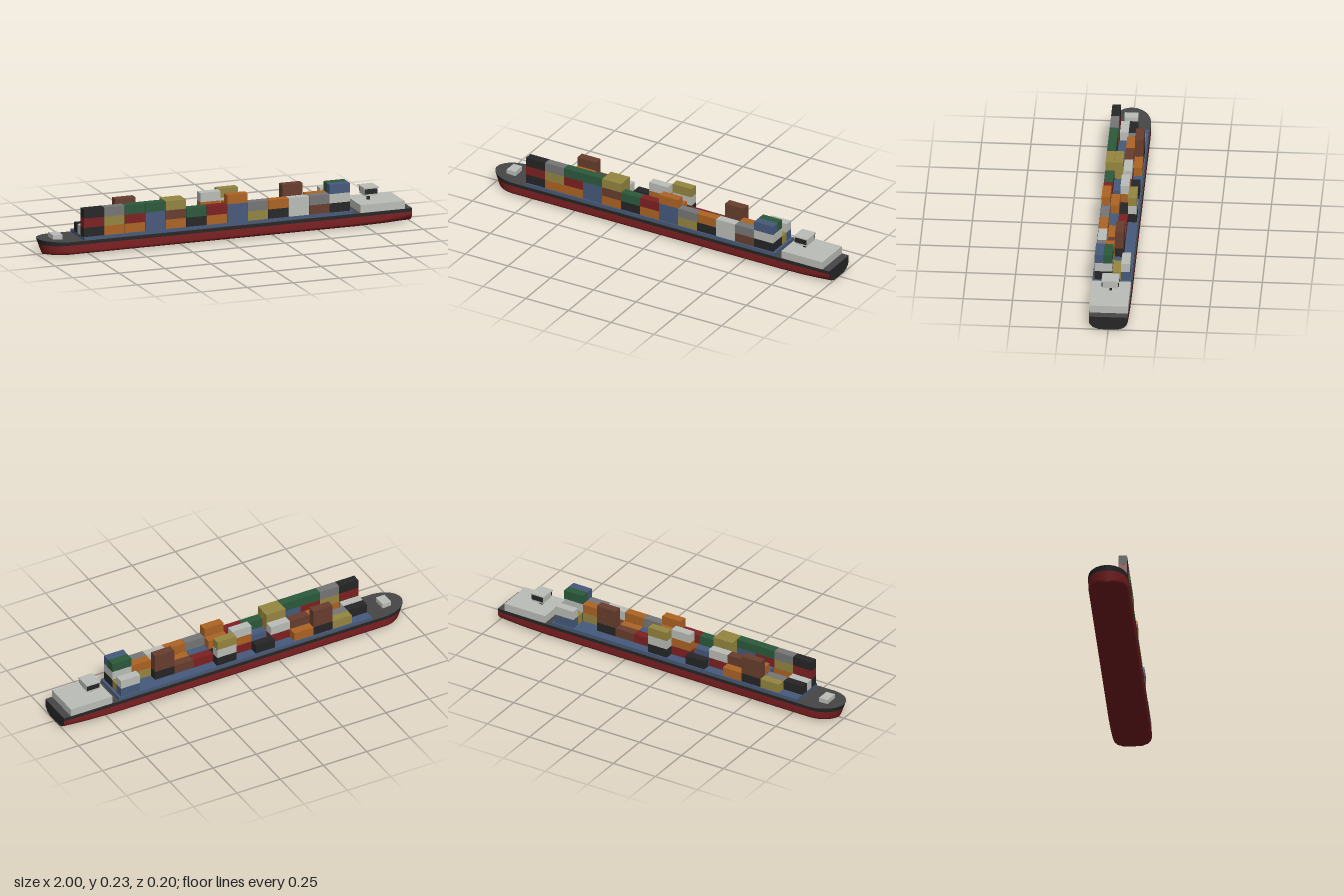
import * as THREE from 'three';

const mat = (name, color) => new THREE.MeshStandardMaterial({ name, color });

export function createModel() {
  const ship = new THREE.Group();
  ship.name = 'containerShip';
  const M = {
    K: mat('black', 0x262626), R: mat('red', 0x7e2022), G: mat('green', 0x2c5a3c),
    B: mat('blue', 0x465a7c), Y: mat('yellow', 0x968640), O: mat('orange', 0xae6424),
    W: mat('white', 0xbcbeb8), S: mat('gray', 0x767676), N: mat('brown', 0x683e2e),
    D: mat('deckGray', 0x464646),
  };

  const add = (name, geo, m, parent = ship) => {
    const mesh = new THREE.Mesh(geo, m);
    mesh.name = name;
    parent.add(mesh);
    return mesh;
  };
  // box from its minimum and maximum corners
  const box = (name, m, [x0, y0, z0], [x1, y1, z1], parent = ship) =>
    add(name, new THREE.BoxGeometry(x1 - x0, y1 - y0, z1 - z0), m, parent)
      .position.set((x0 + x1) / 2, (y0 + y1) / 2, (z0 + z1) / 2);

  // surface through rows of points
  const loft = (rows) => {
    const n = rows[0].length, idx = [];
    for (let i = 0; i < rows.length - 1; i++)
      for (let j = 0; j < n - 1; j++) {
        const a = i * n + j, b = a + n;
        idx.push(a, a + 1, b, b, a + 1, b + 1);
      }
    const g = new THREE.BufferGeometry();
    g.setAttribute('position', new THREE.Float32BufferAttribute(rows.flat(2), 3));
    g.setIndex(idx);
    g.computeVertexNormals();
    return g;
  };

  // Hull: bow at -x, flat transom at +x
  const WATER = 0.056, lerp = THREE.MathUtils.lerp;
  const stations = [];
  for (let i = 0; i <= 12; i++) stations.push(-0.86 - 0.14 * Math.cos((i / 12) * Math.PI / 2));
  stations.push(-0.7, 0, 0.7, 0.85, 0.94, 1);
  const sections = stations.map((x) => {
    const bow = Math.max(0, (-0.86 - x) / 0.14);
    const stern = Math.max(0, (x - 0.7) / 0.3) ** 2;
    const w = 0.102 * Math.sqrt(Math.max(0, 1 - bow * bow)) * (1 - 0.04 * stern);
    const top = 0.074 + 0.008 * bow;
    const t = THREE.MathUtils.clamp((-0.7 - x) / 0.3, 0, 1);
    const p = (z, y) => [x + 0.03 * t * (1 - y / top), y, z];
    const half = [
      [w, WATER], [w, lerp(0.022, 0.042, stern)],
      [w * lerp(0.97, 0.93, stern), lerp(0.012, 0.026, stern)],
      [w * lerp(0.88, 0.78, stern), lerp(0.006, 0.012, stern)],
      [w * 0.5, 0.002], [0, 0],
    ];
    const right = half.map(([z, y]) => p(z, y));
    const left = half.map(([z, y]) => p(-z, y));
    return {
      bottom: [...right, ...left.slice(0, -1).reverse()],
      sideA: [p(w, top), p(w, WATER)],
      sideB: [p(-w, WATER), p(-w, top)],
      deck: [p(-w, top), p(w, top)],
      cap: [[p(-w, top), p(w, top)], ...right.map((r, k) => [left[k], r])],
    };
  });
  add('lowerHull', loft(sections.map((s) => s.bottom)), M.R);
  add('upperHullLeft', loft(sections.map((s) => s.sideA)), M.K);
  add('upperHullRight', loft(sections.map((s) => s.sideB)), M.K);
  add('deck', loft(sections.map((s) => s.deck)), M.D);
  add('transom', loft(sections.at(-1).cap), M.K);

  // Deck fittings
  box('hatchCover', M.B, [-0.78, 0.07, -0.096], [0.68, 0.09, 0.096]);
  box('bowHouse', M.W, [-0.925, 0.07, -0.035], [-0.875, 0.1, 0.035]);

  // Stern house and bridge
  const house = new THREE.Group();
  house.name = 'sternHouse';
  ship.add(house);
  box('houseBlock', M.W, [0.72, 0.07, -0.098], [0.96, 0.115, 0.098], house);
  box('bridgeMast', M.K, [0.792, 0.115, -0.006], [0.808, 0.143, 0.006], house);
  box('bridgeCabin', M.W, [0.768, 0.143, -0.04], [0.832, 0.182, 0.04], house);
  box('bridgeRoof', M.W, [0.76, 0.181, -0.044], [0.84, 0.187, 0.044], house);
  for (const s of [-1, 1])
    box('bridgeWindow', M.K, [0.766, 0.153, s * 0.0415 - 0.0015], [0.834, 0.179, s * 0.0415 + 0.0015], house);

  // Containers: one line per row from -z to +z, one word per bay from the bow,
  // one letter per container from the bottom up ("-" is an empty slot)
  const rows = [
    '- Y KNN O - K - KWY - - - - BW',
    'K S KO BN RW - ROW K R N KNN - Y',
    'W - B B KYY B - BO B O N YO KWG',
    'KRK OYS ORG BBG ONY KG OR BBO YS KO WW NS KWB',
  ];
  const cargo = new THREE.Group();
  cargo.name = 'cargo';
  ship.add(cargo);
  const unit = new THREE.BoxGeometry(0.1105, 0.048, 0.044);
  rows.forEach((row, r) => row.split(' ').forEach((stack, bay) => {
    [...stack].forEach((c, level) => {
      if (c === '-') return;
      add('container', unit, M[c], cargo)
        .position.set(-0.7245 + bay * 0.1113, 0.114 + level * 0.0482, (r - 1.5) * 0.0447);
    });
  }));
  return ship;
}
